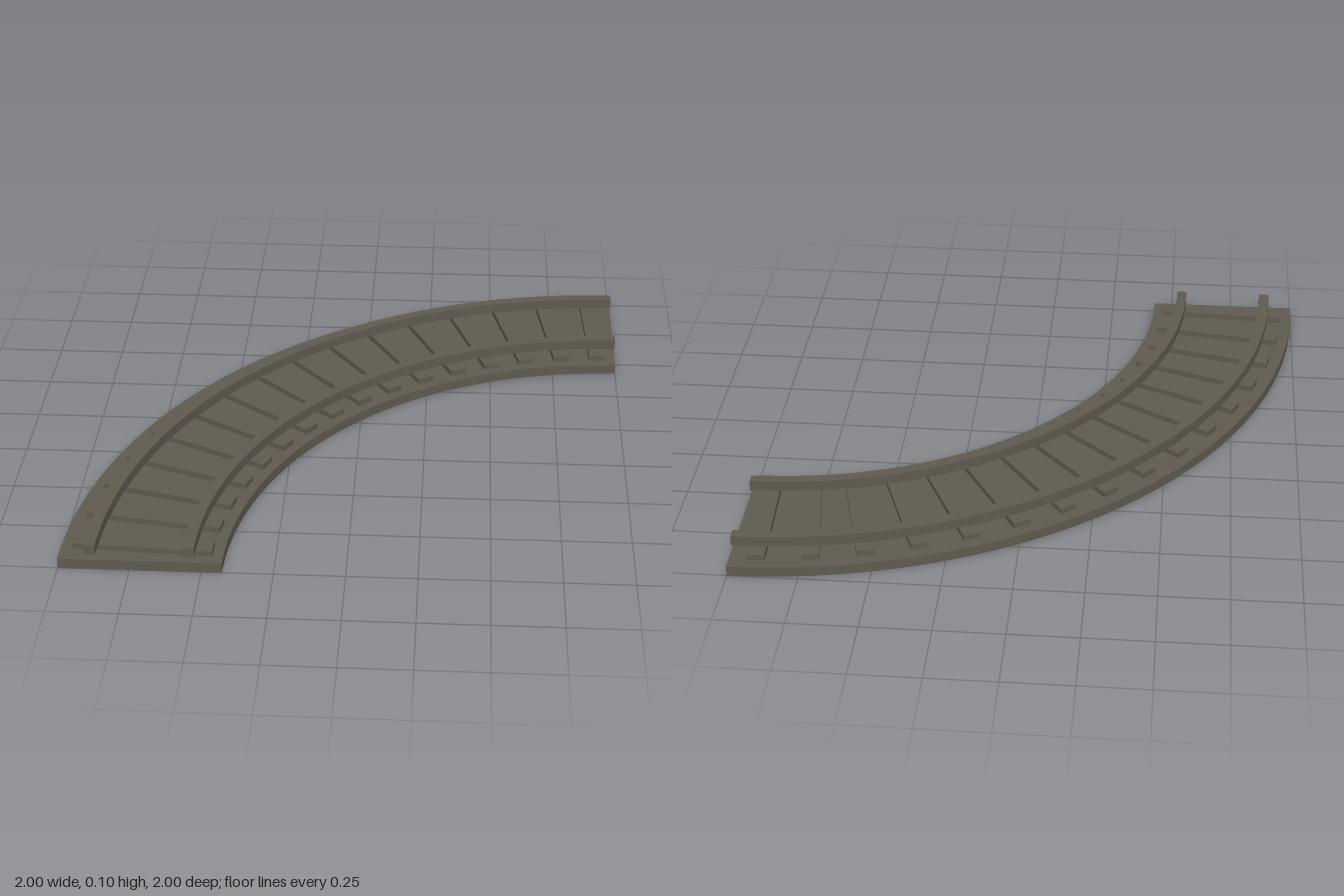
import * as THREE from 'three';

const SEGMENTS = 32;
const TIES = 16;

// Quarter-ring slab around the bend centre (1, 1), from inner to outer radius
function arcSlab(name, inner, outer, y, height, material) {
  const shape = new THREE.Shape();
  for (let i = 0; i <= SEGMENTS; i++) {
    const a = Math.PI / 2 * (1 + i / SEGMENTS);
    const x = 1 + outer * Math.cos(a), v = -1 + outer * Math.sin(a);
    if (i === 0) shape.moveTo(x, v);
    else shape.lineTo(x, v);
  }
  for (let i = SEGMENTS; i >= 0; i--) {
    const a = Math.PI / 2 * (1 + i / SEGMENTS);
    shape.lineTo(1 + inner * Math.cos(a), -1 + inner * Math.sin(a));
  }
  shape.closePath();
  const geometry = new THREE.ExtrudeGeometry(shape, { depth: height, bevelEnabled: false });
  geometry.rotateX(-Math.PI / 2);
  const mesh = new THREE.Mesh(geometry, material);
  mesh.name = name;
  mesh.position.y = y;
  return mesh;
}

export function createModel() {
  const model = new THREE.Group();
  model.name = 'curvedTrack';
  const stone = new THREE.MeshStandardMaterial({ color: 0x5f5a50 });
  stone.name = 'dark grey brown';

  // Bed and the two rails resting on the ties
  model.add(arcSlab('trackBed', 1.428, 2, 0, 0.038, stone));
  model.add(arcSlab('innerRail', 1.522, 1.56, 0.06, 0.039, stone));
  model.add(arcSlab('outerRail', 1.865, 1.905, 0.06, 0.039, stone));

  // Cross ties, evenly spread along the bend
  const ties = new THREE.Group();
  ties.name = 'crossTies';
  const tieGeometry = new THREE.BoxGeometry(0.49, 0.024, 0.064);
  const radius = 1.71;
  for (let i = 0; i < TIES; i++) {
    const a = Math.PI / 2 * (1 + (i + 0.5) / TIES);
    const tie = new THREE.Mesh(tieGeometry, stone);
    tie.name = 'crossTie';
    tie.position.set(1 + radius * Math.cos(a), 0.048, 1 - radius * Math.sin(a));
    tie.rotation.y = a;
    ties.add(tie);
  }
  model.add(ties);
  return model;
}
